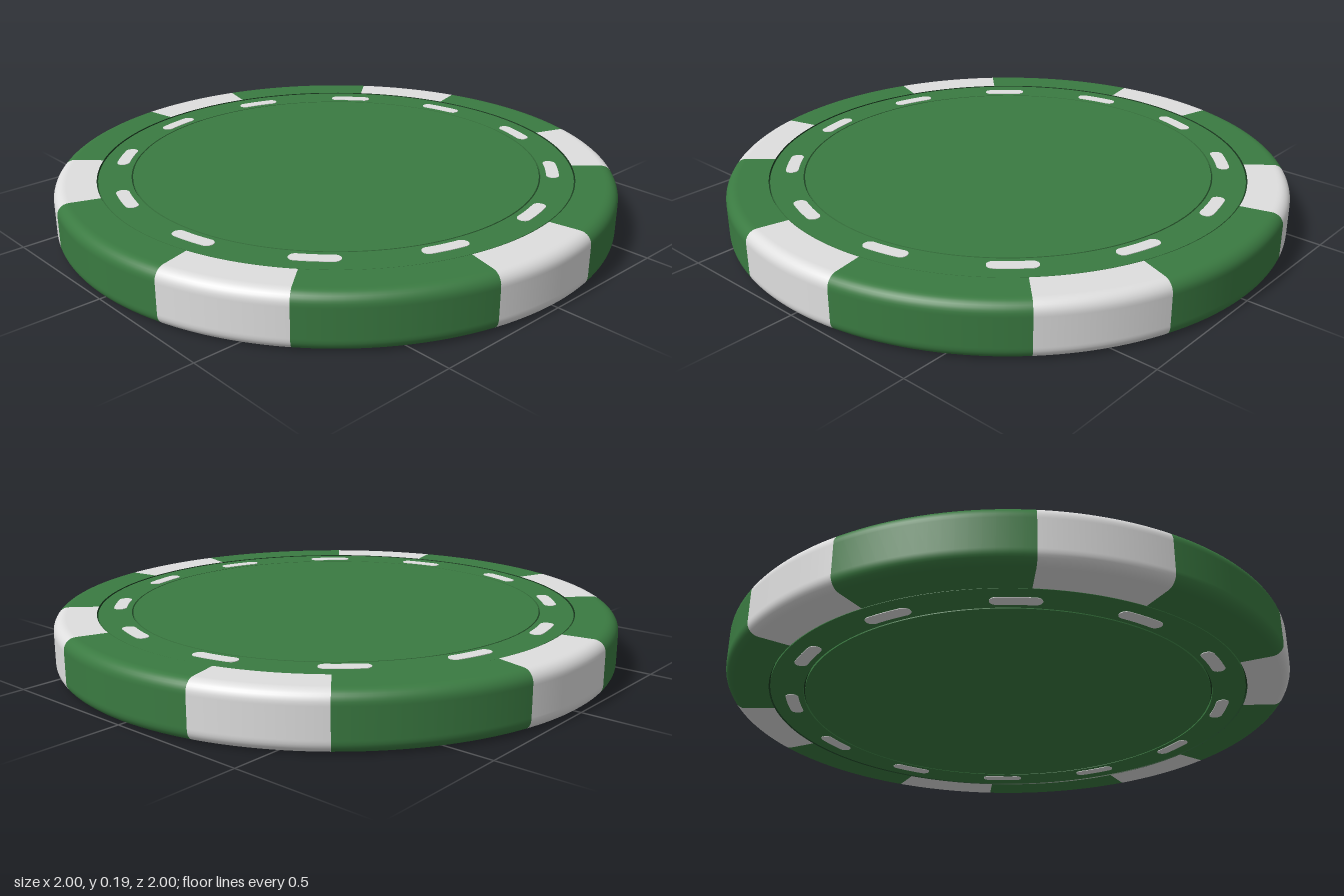
import * as THREE from 'three';

const H = 0.19;             // full thickness
const INSET = 0.002;        // the inlay ring sits slightly below the dashes
const RAD = Math.PI / 180;
const RIM = 0.8525;         // inner radius of the rim

// Rounded rim section, swept over part of a turn. Angles run from +x towards +z.
function rimSector(startDeg, sweepDeg) {
  const r = 0.04;
  const pts = [new THREE.Vector2(RIM, 0), new THREE.Vector2(0.955, 0)];
  for (let i = 0; i <= 8; i++) {
    const a = (-90 + i * 11.25) * RAD;
    pts.push(new THREE.Vector2(1 - r + r * Math.cos(a), r + r * Math.sin(a)));
  }
  pts.push(new THREE.Vector2(1, r + 0.005));
  const upper = pts.map((p) => new THREE.Vector2(p.x, H - p.y)).reverse();
  const profile = pts.concat(upper);
  return new THREE.LatheGeometry(profile, 16, (90 - startDeg - sweepDeg) * RAD, sweepDeg * RAD);
}

// Flat outline raised into a slab between two heights
function slab(shape, y0, y1, curveSegments) {
  const g = new THREE.ExtrudeGeometry(shape, { depth: y1 - y0, bevelEnabled: false, curveSegments });
  return g.rotateX(Math.PI / 2).translate(0, y1, 0);
}

// Curved slot with round ends, centred on +x
function dashShape() {
  const mid = 0.775, w = 0.0225, a = 4.3 * RAD;
  const s = new THREE.Shape();
  s.absarc(0, 0, mid + w, -a, a, false);
  s.absarc(mid * Math.cos(a), mid * Math.sin(a), w, a, a + Math.PI, false);
  s.absarc(0, 0, mid - w, a, -a, true);
  s.absarc(mid * Math.cos(a), -mid * Math.sin(a), w, Math.PI - a, 2 * Math.PI - a, false);
  return s;
}

export function createModel() {
  const green = new THREE.MeshStandardMaterial({ color: 0x3a7a41 });
  green.name = 'green';
  const white = new THREE.MeshStandardMaterial({ color: 0xdedede });
  white.name = 'white';
  const darkGreen = new THREE.MeshStandardMaterial({ color: 0x1c4022 });
  darkGreen.name = 'dark green';

  const chip = new THREE.Group();
  chip.name = 'chip';
  const add = (name, geometry, material) => {
    const m = new THREE.Mesh(geometry, material);
    m.name = name;
    chip.add(m);
    return m;
  };

  // Rim: six white blocks alternating with green ones
  const blockStart = -9.85, blockSweep = 24.3;
  for (let i = 0; i < 6; i++) {
    const start = blockStart + i * 60;
    add('rimWhiteBlock', rimSector(start, blockSweep), white);
    add('rimGreenBlock', rimSector(start + blockSweep, 60 - blockSweep), green);
  }

  // Core seen at the bottom of the two fine grooves, and the rim's inner wall
  add('grooveCore', new THREE.CylinderGeometry(0.86, 0.86, H - 0.024, 96), darkGreen).position.y = H / 2;
  add('rimInnerWall', new THREE.LatheGeometry(
    [new THREE.Vector2(RIM, H), new THREE.Vector2(RIM, 0)], 96), darkGreen);

  // Inlay ring between the grooves
  const ring = new THREE.Shape().absarc(0, 0, 0.8475, 0, Math.PI * 2, false);
  ring.holes.push(new THREE.Path().absarc(0, 0, 0.7325, 0, Math.PI * 2, true));
  add('inlayRing', slab(ring, INSET, H - INSET, 96), green);

  // Centre disc
  add('centreDisc', new THREE.CylinderGeometry(0.7275, 0.7275, H - 2 * INSET, 96), green).position.y = H / 2;

  // Twelve white dashes on each face
  const topDash = slab(dashShape(), H - 0.006, H, 10);
  const bottomDash = slab(dashShape(), 0, 0.006, 10);
  for (let i = 0; i < 12; i++) {
    const turn = -(17.4 + i * 30) * RAD;
    add('topDash', topDash, white).rotation.y = turn;
    add('bottomDash', bottomDash, white).rotation.y = turn;
  }

  return chip;
}
